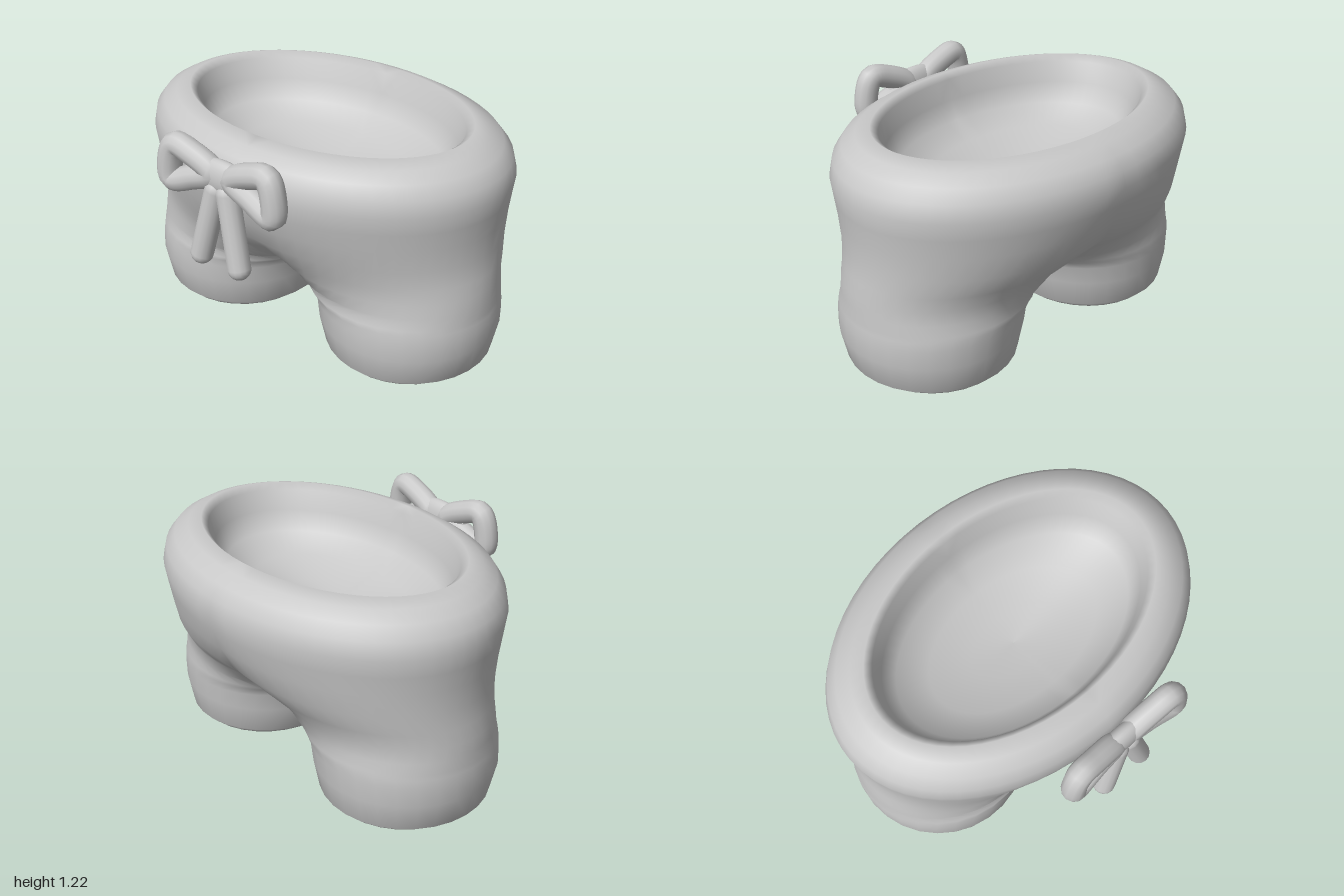
import * as THREE from 'three';
import { mergeVertices } from 'three/addons/utils/BufferGeometryUtils.js';

const cloth = new THREE.MeshStandardMaterial({ color: 0xc8c8c8 });
cloth.name = 'grey cloth';

// Cross-sections of one half: height, inner x, outer x, front z, back z.
// Each is an ellipse cut off at x = 0, so the two legs grow together into the trunk.
const sections = [
  // leg lining, from its closed top down to the cuff
  [0.47, 0.54, 0.541, -0.05, -0.051],
  [0.44, 0.27, 0.82, 0.24, -0.34],
  [0.25, 0.215, 0.865, 0.295, -0.395],
  [0.06, 0.205, 0.875, 0.305, -0.405],
  // cuff and outer leg
  [0.012, 0.225, 0.86, 0.285, -0.385],
  [0.012, 0.175, 0.915, 0.335, -0.435],
  [0.055, 0.122, 0.97, 0.38, -0.48],
  [0.2, 0.088, 1.0, 0.41, -0.505],
  [0.3, 0.07, 1.0, 0.41, -0.51],
  [0.345, 0.038, 0.995, 0.41, -0.515],
  // crotch and seat
  [0.37, 0, 0.993, 0.41, -0.515],
  [0.43, -0.1, 0.99, 0.41, -0.52],
  [0.5, -0.25, 0.985, 0.425, -0.535],
  [0.58, -0.45, 0.975, 0.46, -0.6],
  [0.68, -0.7, 0.965, 0.525, -0.68],
  [0.8, -0.9, 0.97, 0.58, -0.735],
  // waist
  [0.9, -0.98, 0.98, 0.612, -0.765],
  [0.99, -0.99, 0.99, 0.628, -0.782],
  [1.07, -0.97, 0.97, 0.617, -0.765],
  [1.13, -0.92, 0.92, 0.582, -0.722],
  [1.17, -0.85, 0.85, 0.522, -0.652],
  [1.195, -0.78, 0.78, 0.45, -0.585],
  // inside of the waistband and the shallow lining
  [1.165, -0.74, 0.74, 0.422, -0.557],
  [1.06, -0.71, 0.71, 0.4, -0.53],
  [0.96, -0.65, 0.65, 0.36, -0.48],
  [0.89, -0.48, 0.48, 0.24, -0.36],
  [0.84, -0.25, 0.25, 0.08, -0.2],
  [0.825, -0.001, 0.001, -0.06, -0.061],
];

function shortsGeometry() {
  const N = 30, positions = [], index = [];
  for (const side of [1, -1]) {
    const start = positions.length / 3;
    for (const [y, xIn, xOut, zFront, zBack] of sections) {
      const cx = (xIn + xOut) / 2, rx = (xOut - xIn) / 2;
      const cz = (zFront + zBack) / 2, rz = (zFront - zBack) / 2;
      const limit = Math.acos(Math.max(-1, -cx / rx));
      for (let j = 0; j <= N; j++) {
        const a = limit * (2 * j / N - 1);
        const x = Math.max(0, cx + rx * Math.cos(a));
        positions.push(side * x, y, cz + rz * Math.sin(a));
      }
    }
    for (let i = 0; i < sections.length - 1; i++) {
      for (let j = 0; j < N; j++) {
        const a = start + i * (N + 1) + j, b = a + N + 1;
        if (side > 0) index.push(a, b, a + 1, b, b + 1, a + 1);
        else index.push(a, a + 1, b, b, a + 1, b + 1);
      }
    }
  }
  let g = new THREE.BufferGeometry();
  g.setAttribute('position', new THREE.Float32BufferAttribute(positions, 3));
  g.setIndex(index);
  g = mergeVertices(g, 1e-5);
  g.computeVertexNormals();
  return g;
}

export function createModel() {
  const model = new THREE.Group();
  const add = (parent, name, geometry) => {
    const mesh = new THREE.Mesh(geometry, cloth);
    mesh.name = name;
    parent.add(mesh);
    return mesh;
  };

  add(model, 'shorts', shortsGeometry());

  // Drawstring bow
  const bow = new THREE.Group();
  bow.name = 'bow';
  model.add(bow);
  const knot = add(bow, 'knot', new THREE.SphereGeometry(1, 24, 14));
  knot.scale.set(0.19, 0.09, 0.052);
  knot.position.set(0, 1.075, 0.69);

  for (const side of [1, -1]) {
    const label = side > 0 ? 'left' : 'right';
    const path = new THREE.CatmullRomCurve3([
      [0.06, 1.085, 0.69], [0.19, 1.155, 0.7], [0.275, 1.17, 0.705],
      [0.312, 1.08, 0.71], [0.305, 0.99, 0.71], [0.17, 1.03, 0.695],
    ].map(([x, y, z]) => new THREE.Vector3(side * x, y, z)), true);
    add(bow, label + 'Loop', new THREE.TubeGeometry(path, 40, 0.06, 12, true));

    // Hanging end
    const top = new THREE.Vector3(side * 0.035, 1.01, 0.7);
    const end = new THREE.Vector3(side * 0.116, 0.663, 0.733);
    const span = end.clone().sub(top);
    const tail = add(bow, label + 'Tail', new THREE.CapsuleGeometry(0.056, span.length(), 6, 14));
    tail.position.copy(top).add(end).multiplyScalar(0.5);
    tail.quaternion.setFromUnitVectors(new THREE.Vector3(0, 1, 0), span.normalize());
  }
  return model;
}
